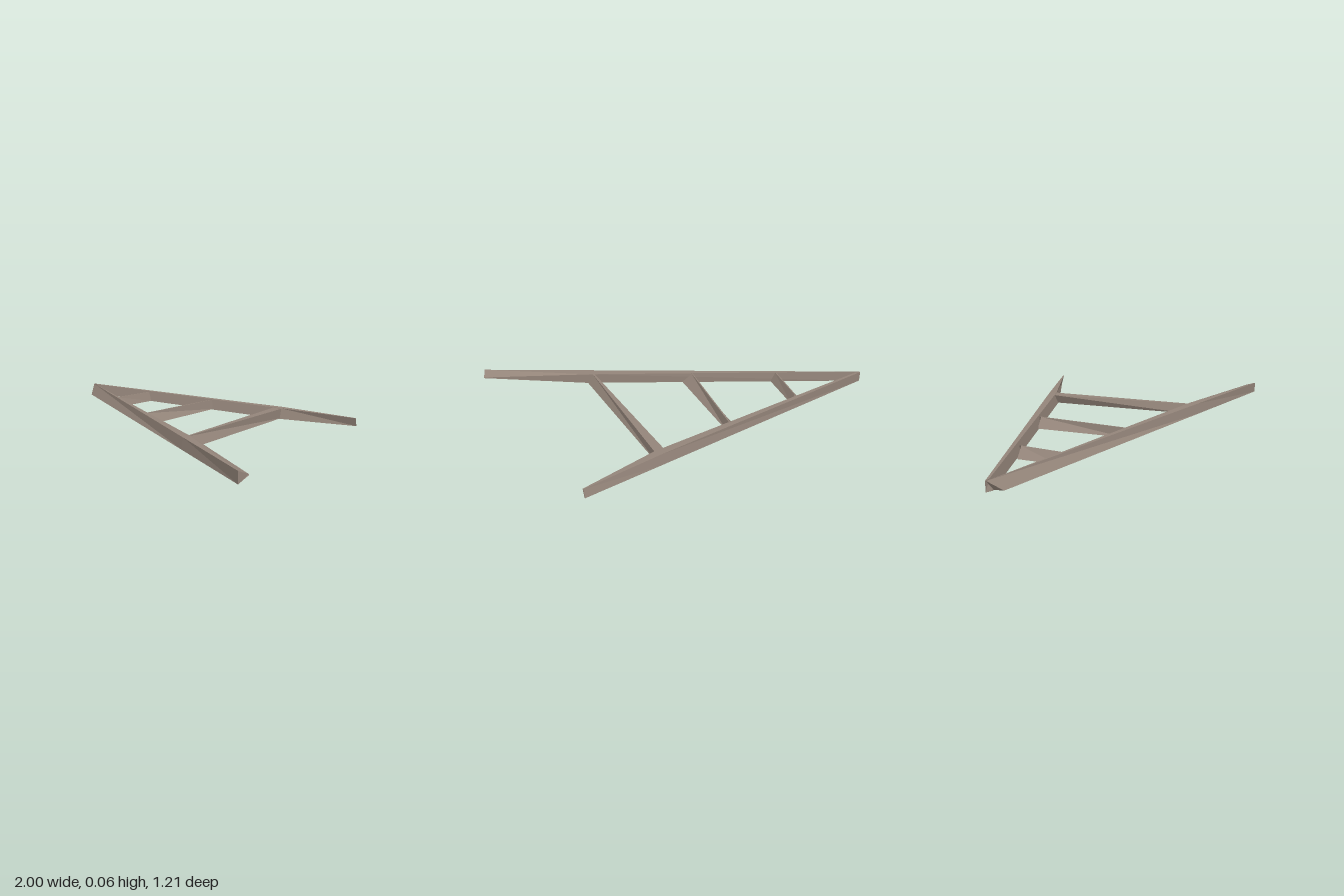
import * as THREE from 'three';

// Hewn beam: skins a row of four-cornered sections and caps both ends.
// Corners run counter-clockwise when looking back from the far end.
function beam(name, sections, material) {
  const pos = [];
  const quad = (a, b, c, d) => pos.push(...a, ...b, ...c, ...a, ...c, ...d);
  for (let s = 0; s < sections.length - 1; s++) {
    const p = sections[s], q = sections[s + 1];
    for (let i = 0; i < 4; i++) {
      const j = (i + 1) % 4;
      quad(p[i], p[j], q[j], q[i]);
    }
  }
  const [a, b, c, d] = sections[0];
  quad(d, c, b, a);
  quad(...sections[sections.length - 1]);
  const geometry = new THREE.BufferGeometry();
  geometry.setAttribute('position', new THREE.Float32BufferAttribute(pos, 3));
  geometry.computeVertexNormals();
  const mesh = new THREE.Mesh(geometry, material);
  mesh.name = name;
  return mesh;
}

export function createModel() {
  const group = new THREE.Group();
  group.name = 'poleFrame';
  const wood = new THREE.MeshStandardMaterial({ color: 0x94857a, flatShading: true });
  const H = 0.057;

  // Long pole on the front side: apex, last rung, pointed-in far end
  group.add(beam('frontPole', [
    [[-0.95, 0, -0.095], [-0.96, 0, -0.145], [-0.96, H, -0.14], [-1, H, -0.155]],
    [[0.43, 0, 0.405], [0.45, 0, 0.355], [0.43, H, 0.347], [0.43, H, 0.394]],
    [[0.98, 0, 0.605], [0.995, 0.033, 0.555], [0.993, 0.037, 0.555], [0.98, H, 0.605]],
  ], wood));

  // Shorter pole on the back side, tapering to a thin tip
  group.add(beam('backPole', [
    [[-0.97, 0, -0.14], [-1, 0, -0.16], [-1, H, -0.16], [-0.97, H, -0.155]],
    [[0.32, 0, -0.435], [0.3, 0, -0.498], [0.3, H, -0.487], [0.32, H, -0.45]],
    [[0.712, 0, -0.6], [0.71, 0, -0.605], [0.713, 0.045, -0.593], [0.715, 0.045, -0.588]],
  ], wood));

  // Rungs: x of bottom left, bottom right, top right, top left at each end,
  // then z of the left and right sides there
  const rungs = [
    { back: [-0.6, -0.53, -0.548, -0.554], zBack: [-0.22, -0.235],
      front: [-0.585, -0.525, -0.55, -0.556], zFront: [-0.01, 0.012] },
    { back: [-0.165, -0.105, -0.115, -0.122], zBack: [-0.33, -0.345],
      front: [-0.115, -0.055, -0.105, -0.111], zFront: [0.155, 0.177] },
    { back: [0.295, 0.32, 0.32, 0.27], zBack: [-0.445, -0.46],
      front: [0.395, 0.45, 0.42, 0.408], zFront: [0.345, 0.365] },
  ];
  const section = (x, [zl, zr]) =>
    [[x[0], 0.002, zl], [x[1], 0.002, zr], [x[2], H - 0.002, zr], [x[3], H - 0.002, zl]];
  rungs.forEach((r, i) => group.add(
    beam(`rung${i + 1}`, [section(r.back, r.zBack), section(r.front, r.zFront)], wood)));

  return group;
}
